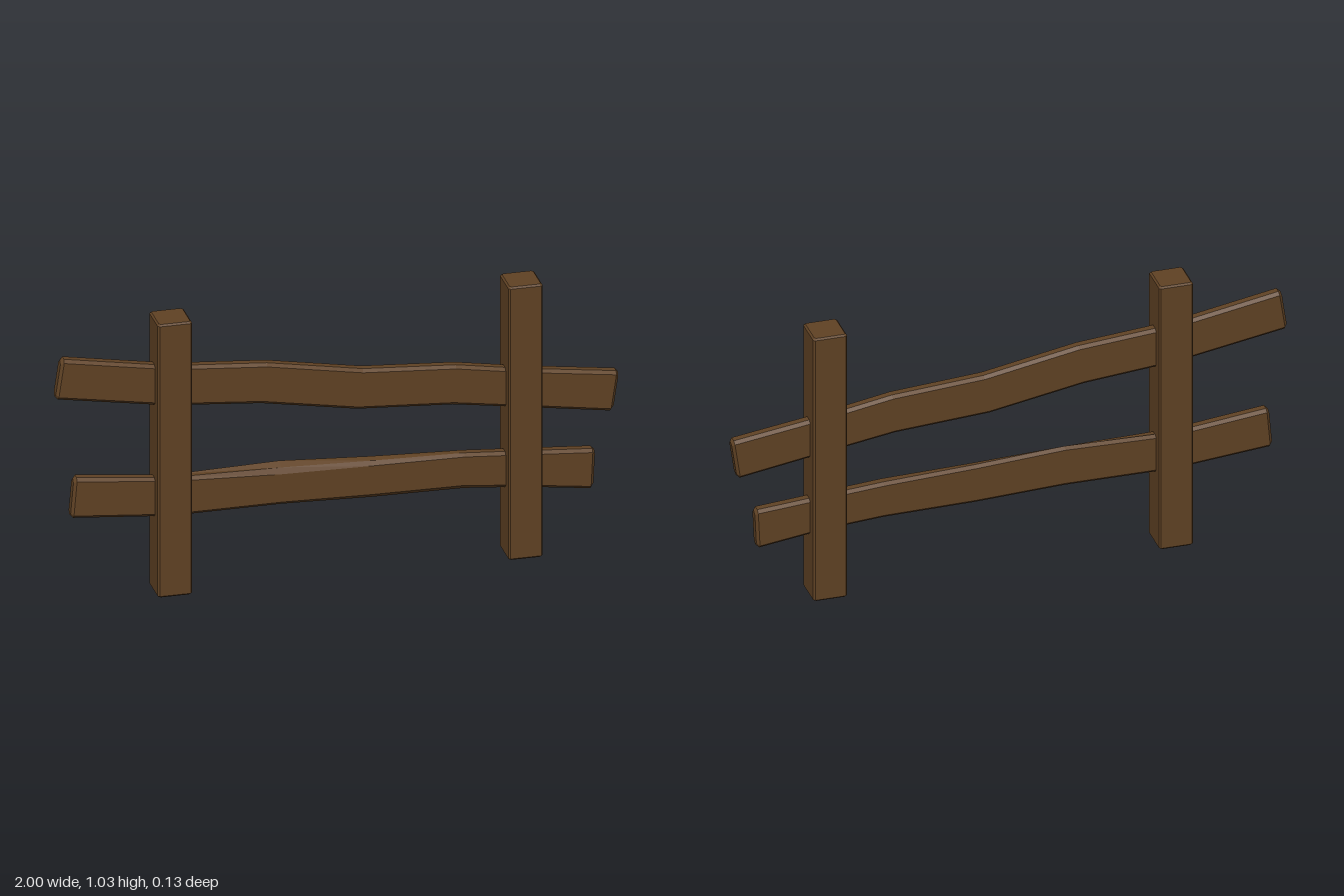
import * as THREE from 'three';

// Skin a row of equal-length rings (anticlockwise about the travel axis), capped at both ends
function loft(rings) {
  const pos = [];
  const tri = (...pts) => pts.forEach((p) => pos.push(...p));
  const n = rings[0].length;
  for (let k = 0; k < rings.length - 1; k++) {
    const a = rings[k], b = rings[k + 1];
    for (let i = 0; i < n; i++) {
      const j = (i + 1) % n;
      tri(a[i], a[j], b[j]);
      tri(a[i], b[j], b[i]);
    }
  }
  const first = rings[0], last = rings[rings.length - 1];
  for (let i = 1; i < n - 1; i++) {
    tri(first[0], first[i + 1], first[i]);
    tri(last[0], last[i], last[i + 1]);
  }
  const geo = new THREE.BufferGeometry();
  geo.setAttribute('position', new THREE.Float32BufferAttribute(pos, 3));
  geo.computeVertexNormals();
  return geo;
}

// Chamfered rail section; drop and raise hew the front edges unevenly
function railRing([xTop, yTop, xBot, yBot, drop = 0, raise = 0], inset) {
  const w = 0.0235 - inset, c = 0.011;
  const h = yTop - yBot;
  const at = (y, z) => [xBot + (xTop - xBot) * (y - yBot) / h, y, z];
  const t = yTop - inset, b = yBot + inset;
  return [
    at(t, -w + c), at(t - drop * 0.6, w - c), at(t - c - drop, w), at(b + c + raise, w),
    at(b + raise * 0.6, w - c), at(b, -w + c), at(b + c, -w), at(t - c, -w),
  ];
}

// Rail from a list of sections, with chamfered ends
function railGeometry(sections) {
  const shift = (s, d) => [s[0] + d, s[1], s[2] + d, s[3], s[4], s[5]];
  const start = sections[0], end = sections[sections.length - 1];
  return loft([
    railRing(start, 0.009),
    railRing(shift(start, 0.01), 0),
    ...sections.slice(1, -1).map((s) => railRing(s, 0)),
    railRing(shift(end, -0.01), 0),
    railRing(end, 0.009),
  ]);
}

// Square post with narrow chamfers on every edge
function postGeometry(width, height, depth) {
  const c = 0.006;
  const ring = (y, inset) => {
    const x = width / 2 - inset, z = depth / 2 - inset;
    return [
      [x - c, y, z], [x, y, z - c], [x, y, -z + c], [x - c, y, -z],
      [-x + c, y, -z], [-x, y, -z + c], [-x, y, z - c], [-x + c, y, z],
    ];
  };
  return loft([ring(0, c), ring(c, 0), ring(height - c, 0), ring(height, c)]);
}

export function createModel() {
  const group = new THREE.Group();
  const wood = new THREE.MeshStandardMaterial({ color: 0x604224, flatShading: true });
  wood.name = 'brown wood';
  const add = (name, geo, x = 0) => {
    const mesh = new THREE.Mesh(geo, wood);
    mesh.name = name;
    mesh.position.x = x;
    group.add(mesh);
  };

  // Upright posts
  const post = postGeometry(0.122, 1.03, 0.126);
  add('rightPost', post, -0.588);
  add('leftPost', post, 0.656);

  // Rails: [top x, top y, bottom x, bottom y, front top drop, front bottom raise]
  add('upperRail', railGeometry([
    [-0.98, 0.917, -1.002, 0.768],
    [-0.59, 0.85, -0.605, 0.702],
    [-0.25, 0.822, -0.27, 0.672],
    [0.09, 0.761, 0.07, 0.612],
    [0.42, 0.738, 0.41, 0.59],
    [0.66, 0.697, 0.65, 0.553],
    [0.999, 0.651, 0.977, 0.503],
  ]));
  add('lowerRail', railGeometry([
    [-0.935, 0.465, -0.948, 0.315],
    [-0.59, 0.428, -0.59, 0.283],
    [-0.2, 0.436, -0.2, 0.284, 0.025, 0],
    [0.12, 0.416, 0.12, 0.27, 0.01, 0.006],
    [0.45, 0.402, 0.45, 0.265, 0, 0.008],
    [0.66, 0.386, 0.66, 0.25],
    [0.914, 0.367, 0.907, 0.218],
  ]));
  return group;
}
